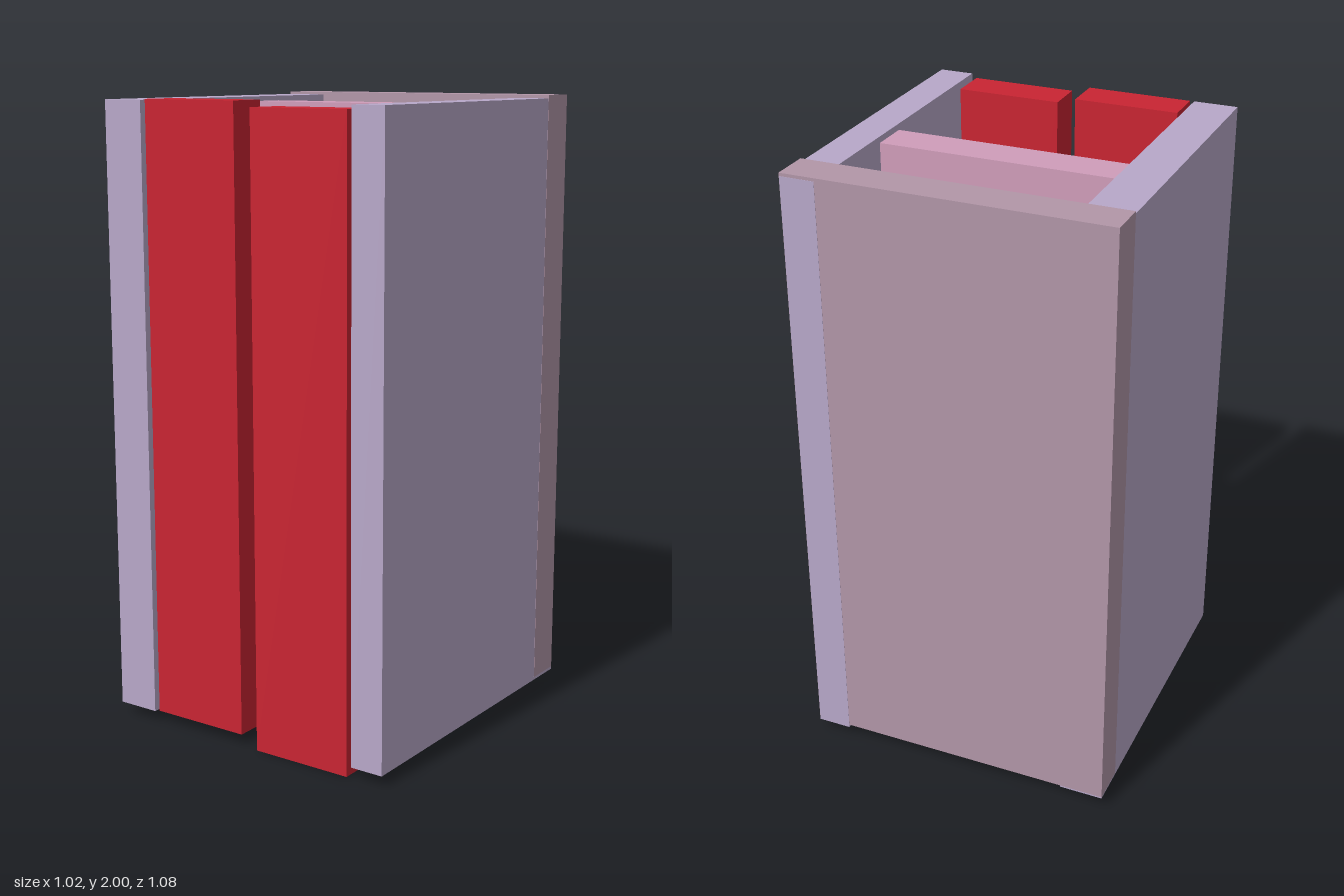
import * as THREE from 'three';

// Adds a box spanning [min, max] on each axis
function addPanel(group, name, color, [x0, x1], [y0, y1], [z0, z1]) {
  const mesh = new THREE.Mesh(
    new THREE.BoxGeometry(x1 - x0, y1 - y0, z1 - z0),
    new THREE.MeshStandardMaterial({ color })
  );
  mesh.name = name;
  mesh.position.set((x0 + x1) / 2, (y0 + y1) / 2, (z0 + z1) / 2);
  group.add(mesh);
}

export function createModel() {
  const group = new THREE.Group();
  group.name = 'cabinet';
  const lavender = 0xb8a8c9, mauve = 0xb296a8, pink = 0xd09dba, red = 0xc92432;

  // Side walls, running the full depth
  addPanel(group, 'rightWall', lavender, [-0.511, -0.369], [0.037, 1.992], [-0.536, 0.537]);
  addPanel(group, 'leftWall', lavender, [0.397, 0.508], [0.035, 1.99], [-0.54, 0.529]);

  // Back wall, overlapping the rear ends of the sides
  addPanel(group, 'backWall', mauve, [-0.512, 0.509], [0.045, 2], [-0.539, -0.414]);

  // Upright divider inside, let into the right wall
  addPanel(group, 'divider', pink, [-0.408, 0.388], [0.02, 1.977], [-0.155, -0.029]);

  // Pair of doors, hung at slightly different heights
  addPanel(group, 'rightDoor', red, [-0.358, -0.019], [0.038, 1.995], [0.401, 0.528]);
  addPanel(group, 'leftDoor', red, [0.041, 0.381], [0, 1.977], [0.401, 0.528]);

  return group;
}
